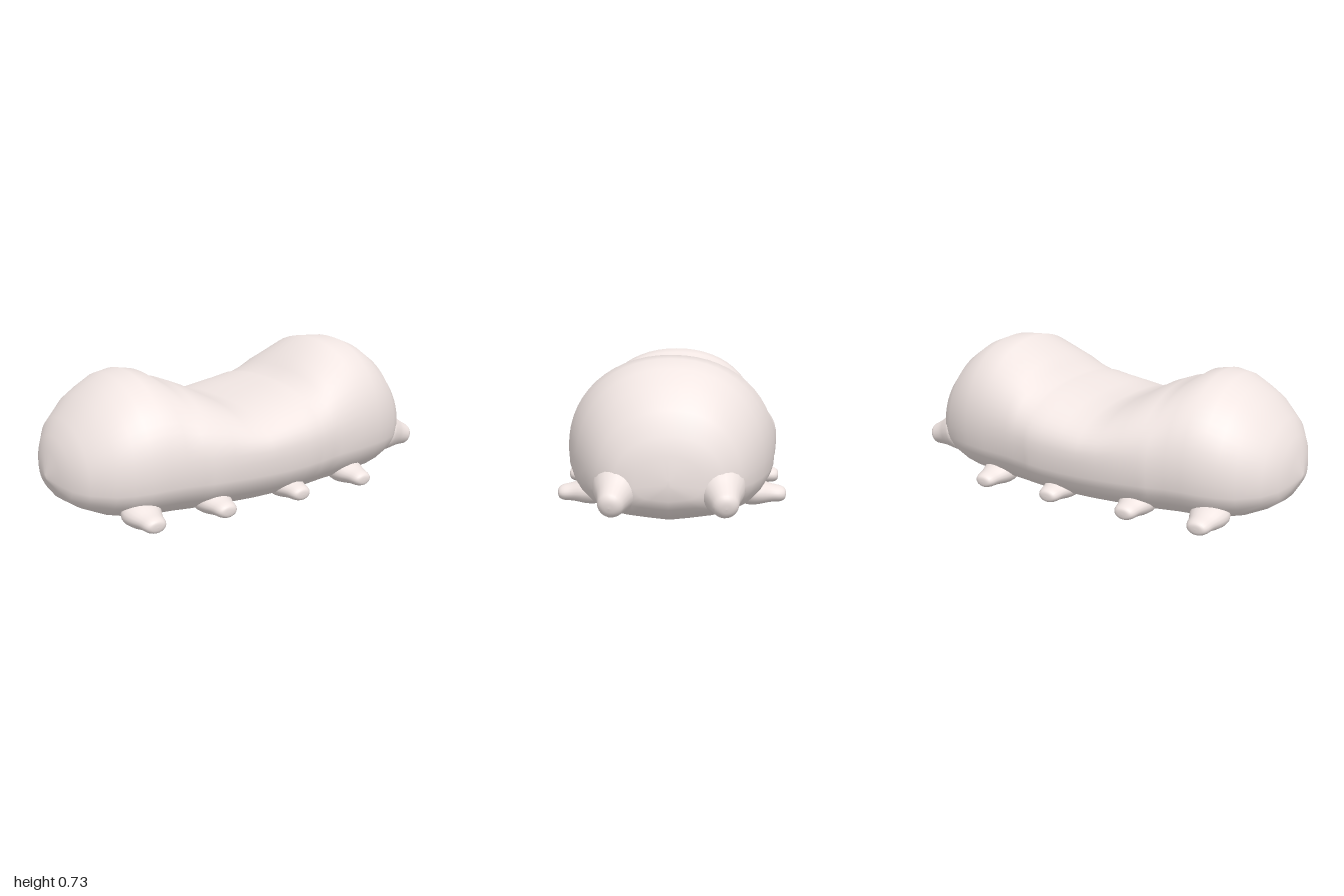
import * as THREE from 'three';

const material = new THREE.MeshStandardMaterial({ color: 0xf0e5e2 });

// Body stations along x: [x, top, bottom, half width, height of widest point]
const stations = [
  [-1.0, 0.23, 0.21, 0.01, 0.22], [-0.98, 0.34, 0.165, 0.13, 0.225],
  [-0.955, 0.4, 0.12, 0.21, 0.23], [-0.91, 0.475, 0.09, 0.3, 0.24],
  [-0.82, 0.57, 0.05, 0.375, 0.25], [-0.75, 0.615, 0.033, 0.41, 0.26],
  [-0.68, 0.655, 0.023, 0.435, 0.27], [-0.6, 0.67, 0.017, 0.452, 0.28],
  [-0.52, 0.655, 0.013, 0.457, 0.28], [-0.44, 0.602, 0.01, 0.475, 0.28],
  [-0.4, 0.6, 0.009, 0.483, 0.28], [-0.3, 0.56, 0.006, 0.495, 0.28],
  [-0.2, 0.505, 0.003, 0.505, 0.28], [-0.1, 0.485, 0, 0.51, 0.28],
  [0, 0.508, 0, 0.51, 0.28], [0.1, 0.53, 0, 0.508, 0.285],
  [0.17, 0.55, 0.002, 0.503, 0.29], [0.2, 0.55, 0.003, 0.498, 0.29],
  [0.27, 0.592, 0.005, 0.487, 0.295], [0.32, 0.638, 0.007, 0.483, 0.3],
  [0.47, 0.725, 0.013, 0.467, 0.3], [0.6, 0.72, 0.021, 0.437, 0.295],
  [0.69, 0.685, 0.034, 0.403, 0.285], [0.78, 0.625, 0.056, 0.355, 0.27],
  [0.86, 0.535, 0.095, 0.295, 0.255], [0.9, 0.43, 0.13, 0.225, 0.245],
  [0.92, 0.36, 0.17, 0.14, 0.245], [0.925, 0.26, 0.23, 0.01, 0.245],
];

// Half cross-section from top to belly in unit fractions: [side, up]
const half = [];
for (let i = 0; i <= 14; i++) {
  const a = (i / 14) * Math.PI / 2;
  half.push([Math.sin(a), i < 14 ? Math.cos(a) : 0]);
}
half.push([0.99, -0.25], [0.96, -0.4], [0.9, -0.56], [0.8, -0.72], [0.66, -0.84], [0.5, -0.9], [0.25, -0.955], [0, -1]);
const ring = half.concat(half.slice(1, -1).reverse().map(([s, u]) => [-s, u]));

function bodyGeometry() {
  const n = ring.length, positions = [], index = [];
  for (const [x, top, bottom, width, mid] of stations) {
    // The low saddle is squarer across than the two humps
    const saddle = x > -0.6 && x < 0.5 ? THREE.MathUtils.clamp((0.68 - top) / 0.18, 0, 1) : 0;
    const power = 0.94 - 0.18 * saddle;
    for (const [s, u] of ring) {
      const side = u > 0 ? Math.sign(s) * Math.abs(s) ** power : s;
      const y = u > 0 ? mid + u ** power * (top - mid) : mid + u * (mid - bottom);
      positions.push(x, y, side * width);
    }
  }
  for (let i = 0; i < stations.length - 1; i++) {
    for (let j = 0; j < n; j++) {
      const a = i * n + j, b = i * n + (j + 1) % n;
      index.push(a, b, a + n, b, b + n, a + n);
    }
  }
  // Close both ends with fans
  const last = (stations.length - 1) * n;
  for (let j = 1; j < n - 1; j++) index.push(0, j + 1, j, last, last + j, last + j + 1);
  const g = new THREE.BufferGeometry();
  g.setAttribute('position', new THREE.Float32BufferAttribute(positions, 3));
  g.setIndex(index);
  g.computeVertexNormals();
  return g;
}

// Rounded stub whose root tapers away inside the body; profile is [radius, distance along axis]
function stub(name, profile, from, to) {
  const curve = new THREE.SplineCurve(profile.map(([r, d]) => new THREE.Vector2(r, d)));
  const points = curve.getPoints(24).map(p => new THREE.Vector2(Math.max(p.x, 0), p.y));
  const mesh = new THREE.Mesh(new THREE.LatheGeometry(points, 20), material);
  const start = new THREE.Vector3(...from);
  const dir = new THREE.Vector3(...to).sub(start).normalize();
  mesh.position.copy(start);
  mesh.quaternion.setFromUnitVectors(new THREE.Vector3(0, 1, 0), dir);
  mesh.name = name;
  return mesh;
}

export function createModel() {
  const model = new THREE.Group();
  model.name = 'caterpillar';

  const body = new THREE.Mesh(bodyGeometry(), material);
  body.name = 'body';
  model.add(body);

  for (const side of [1, -1]) {
    const sideName = side > 0 ? 'Front' : 'Back';

    // Short legs along the lower edge, flattened vertically
    [[-0.7, 0.51], [-0.35, 0.525], [0.06, 0.527], [0.44, 0.525]].forEach(([x, reach], i) => {
      const length = reach - 0.24;
      const profile = [[0, 0], [0.055, 0.03], [0.088, length - 0.18], [0.085, length - 0.13],
        [0.062, length - 0.07], [0.052, length - 0.025], [0.034, length - 0.004], [0, length]];
      const leg = stub(`leg${sideName}${i + 1}`, profile, [x, 0.108, side * 0.24], [x, 0.084, side * reach]);
      leg.scale.z = 0.68;
      model.add(leg);
    });

    // Blunt horns on the face
    const horn = stub(`horn${sideName}`,
      [[0, 0], [0.07, 0.03], [0.106, 0.09], [0.094, 0.135], [0.073, 0.18], [0.06, 0.22], [0.05, 0.25], [0.028, 0.266], [0, 0.27]],
      [0.742, 0.23, side * 0.2], [1.0, 0.163, side * 0.232]);
    model.add(horn);
  }
  return model;
}
